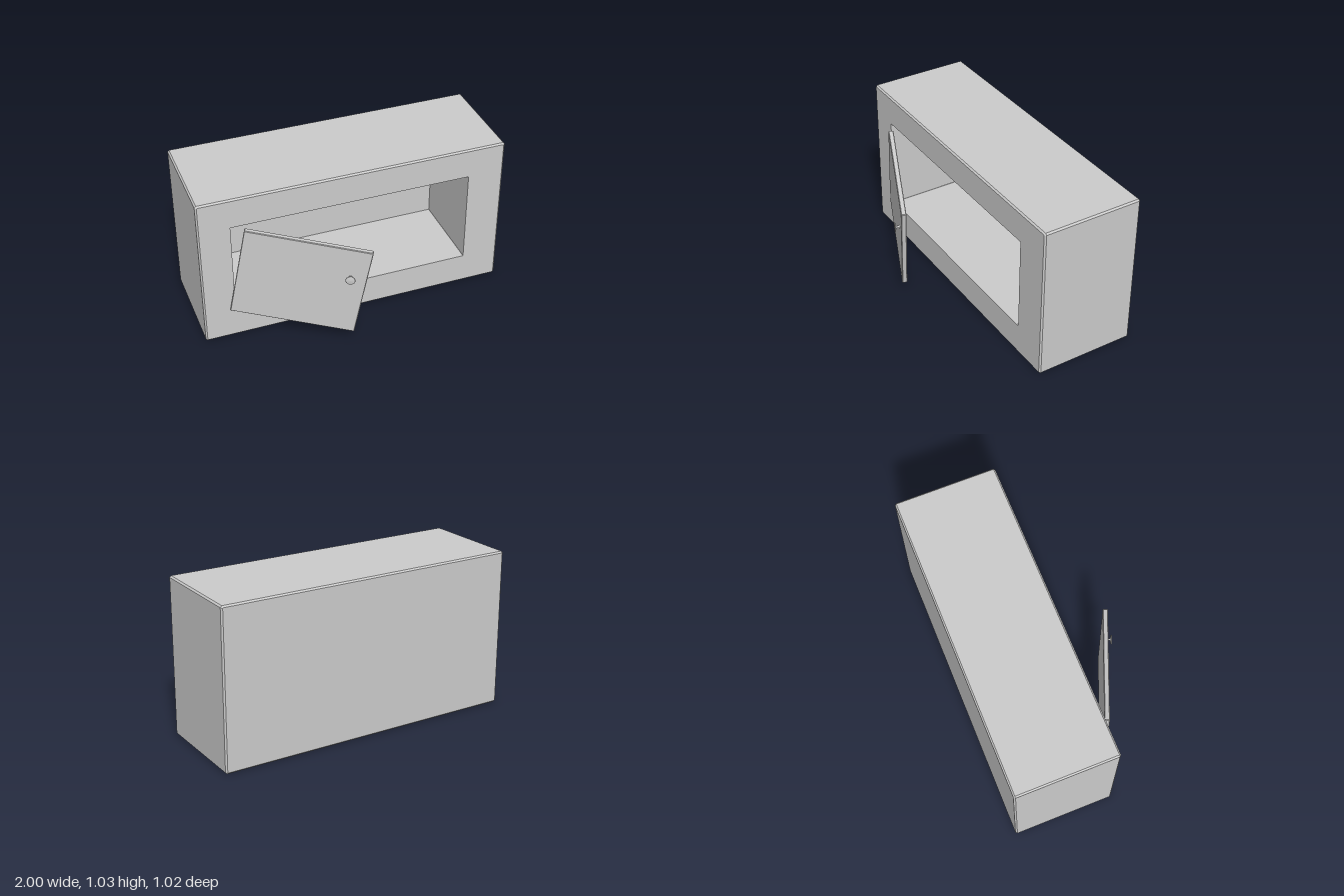
import * as THREE from 'three';

const material = new THREE.MeshStandardMaterial({ color: 0xcccccc, flatShading: true });
const smooth = new THREE.MeshStandardMaterial({ color: 0xcccccc });

// Rectangle with cut corners, counter-clockwise seen from +z
function ring(x0, x1, y0, y1, z, c) {
  return [
    [x0 + c, y0], [x1 - c, y0], [x1, y0 + c], [x1, y1 - c],
    [x1 - c, y1], [x0 + c, y1], [x0, y1 - c], [x0, y0 + c],
  ].map(([x, y]) => [x, y, z]);
}

// Skin a row of rings from back to front, closing both ends
function skin(rings) {
  const pos = [];
  const n = rings[0].length;
  const tri = (a, b, c) => pos.push(...a, ...b, ...c);
  for (let r = 0; r < rings.length - 1; r++) {
    for (let i = 0; i < n; i++) {
      const j = (i + 1) % n;
      const [a, b] = [rings[r], rings[r + 1]];
      tri(a[i], a[j], b[j]);
      tri(a[i], b[j], b[i]);
    }
  }
  const first = rings[0], last = rings[rings.length - 1];
  for (let i = 1; i < n - 1; i++) {
    tri(first[0], first[i + 1], first[i]);
    tri(last[0], last[i], last[i + 1]);
  }
  const geo = new THREE.BufferGeometry();
  geo.setAttribute('position', new THREE.Float32BufferAttribute(pos, 3));
  geo.computeVertexNormals();
  return geo;
}

// Rings of a block with chamfered edges
function blockRings(x0, x1, y0, y1, z0, z1, c) {
  return [
    ring(x0 + c, x1 - c, y0 + c, y1 - c, z0, c / 2),
    ring(x0, x1, y0, y1, z0 + c, c),
    ring(x0, x1, y0, y1, z1 - c, c),
    ring(x0 + c, x1 - c, y0 + c, y1 - c, z1, c / 2),
  ];
}

function part(name, geometry, mat = material) {
  const mesh = new THREE.Mesh(geometry, mat);
  mesh.name = name;
  return mesh;
}

export function createModel() {
  const model = new THREE.Group();
  model.name = 'wallCabinet';

  // Cabinet: chamfered outside, then in through the opening to the cavity's back wall
  model.add(part('cabinet', skin([
    ...blockRings(-1, 1, 0, 1.03, -0.51, 0.155, 0.01),
    ring(-0.797, 0.76, 0.206, 0.832, 0.155, 0.001),
    ring(-0.797, 0.76, 0.206, 0.832, 0.105, 0.001),
    ring(-0.8, 0.763, 0.202, 0.835, 0.105, 0.001),
    ring(-0.8, 0.763, 0.202, 0.835, -0.415, 0.001),
  ])));

  // Door hanging crookedly from its hinge side; its front face lies at local z = 0
  const door = new THREE.Group();
  door.name = 'door';
  door.add(part('doorPanel', skin(blockRings(-0.392, 0.392, -0.313, 0.313, -0.033, 0, 0.004))));

  // Knob: slim stem with a flat round head
  const profile = [[0.014, -0.002], [0.008, 0.006], [0.007, 0.022], [0.028, 0.027],
    [0.031, 0.03], [0.028, 0.034], [0, 0.036]].map(([r, h]) => new THREE.Vector2(r, h));
  const knob = part('knob', new THREE.LatheGeometry(profile, 24), smooth);
  knob.rotation.x = Math.PI / 2;
  knob.position.set(0.29, 0.107, 0);
  door.add(knob);

  // Door axes: across, up and outward
  const across = new THREE.Vector3(0.71, -0.145, 0.3).normalize();
  const outward = across.clone().cross(new THREE.Vector3(0.11, 0.615, 0.045)).normalize();
  const up = outward.clone().cross(across);
  door.quaternion.setFromRotationMatrix(new THREE.Matrix4().makeBasis(across, up, outward));
  door.position.set(-0.428, 0.45, 0.339);
  model.add(door);

  return model;
}
